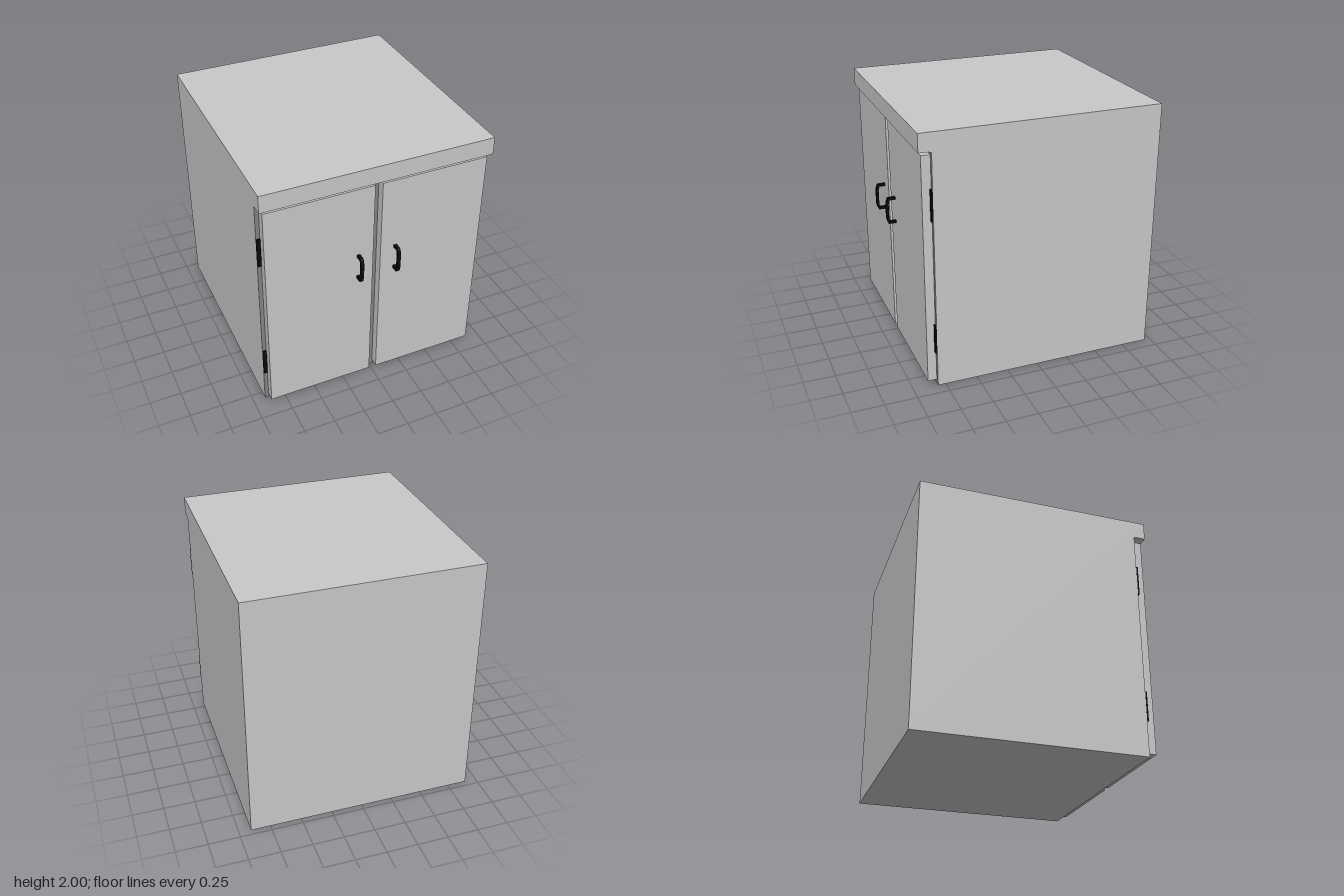
import * as THREE from 'three';

const lightGrey = new THREE.MeshStandardMaterial({ name: 'light grey', color: 0xc9c9c9 });
const darkGrey = new THREE.MeshStandardMaterial({ name: 'dark grey', color: 0x858585 });
const black = new THREE.MeshStandardMaterial({ name: 'black', color: 0x0a0a0a });

const HALF_W = 0.905, BACK = -0.955, FRONT = 0.81;

function addMesh(group, name, geometry, material) {
  const mesh = new THREE.Mesh(geometry, material);
  mesh.name = name;
  group.add(mesh);
  return mesh;
}

// Box given by its minimum and maximum corners
function boxBetween(x0, x1, y0, y1, z0, z1) {
  return new THREE.BoxGeometry(x1 - x0, y1 - y0, z1 - z0)
    .translate((x0 + x1) / 2, (y0 + y1) / 2, (z0 + z1) / 2);
}

// Side profile in (z, y), extruded across x and centred on the given x
function extrudeAcross(shape, width, x) {
  return new THREE.ExtrudeGeometry(shape, { depth: width, bevelEnabled: false, curveSegments: 6 })
    .translate(0, 0, -width / 2)
    .rotateY(-Math.PI / 2)
    .translate(x, 0, 0);
}

// C-shaped pull with softened outer corners
function handleShape() {
  const s = new THREE.Shape();
  s.moveTo(0.88, 1.25);
  s.lineTo(0.935, 1.25);
  s.quadraticCurveTo(0.946, 1.248, 0.955, 1.2);
  s.lineTo(0.955, 1.085);
  s.quadraticCurveTo(0.946, 1.037, 0.935, 1.035);
  s.lineTo(0.88, 1.035);
  s.lineTo(0.88, 1.055);
  s.lineTo(0.925, 1.055);
  s.quadraticCurveTo(0.93, 1.057, 0.935, 1.085);
  s.lineTo(0.935, 1.2);
  s.quadraticCurveTo(0.93, 1.228, 0.925, 1.23);
  s.lineTo(0.88, 1.23);
  s.closePath();
  return s;
}

export function createModel() {
  const cabinet = new THREE.Group();
  cabinet.name = 'cabinet';

  // Carcass with the overhanging worktop edge
  const profile = new THREE.Shape([
    [BACK, 0], [FRONT, 0], [FRONT, 1.855], [0.835, 1.86], [0.905, 1.86], [0.905, 2], [BACK, 2],
  ].map(([z, y]) => new THREE.Vector2(z, y)));
  addMesh(cabinet, 'carcass', extrudeAcross(profile, HALF_W * 2, 0), lightGrey);

  // Dark face frame behind the doors
  const frame = new THREE.PlaneGeometry(HALF_W * 2, 1.855).translate(0, 0.9275, FRONT + 0.001);
  addMesh(cabinet, 'faceFrame', frame, darkGrey);

  // Mirrored doors with pulls and hinges
  for (const [side, s] of [['left', 1], ['right', -1]]) {
    const span = (a, b) => (s > 0 ? [a, b] : [-b, -a]);
    addMesh(cabinet, side + 'Door', boxBetween(...span(0.03, 0.875), 0.035, 1.83, FRONT, 0.88), lightGrey);
    addMesh(cabinet, side + 'Handle', extrudeAcross(handleShape(), 0.026, s * 0.15), black);
    for (const [level, y0, y1] of [['Lower', 0.28, 0.51], ['Upper', 1.34, 1.58]]) {
      addMesh(cabinet, side + level + 'Hinge', boxBetween(...span(0.876, 0.906), y0, y1, FRONT, 0.823), black);
    }
  }
  return cabinet;
}
